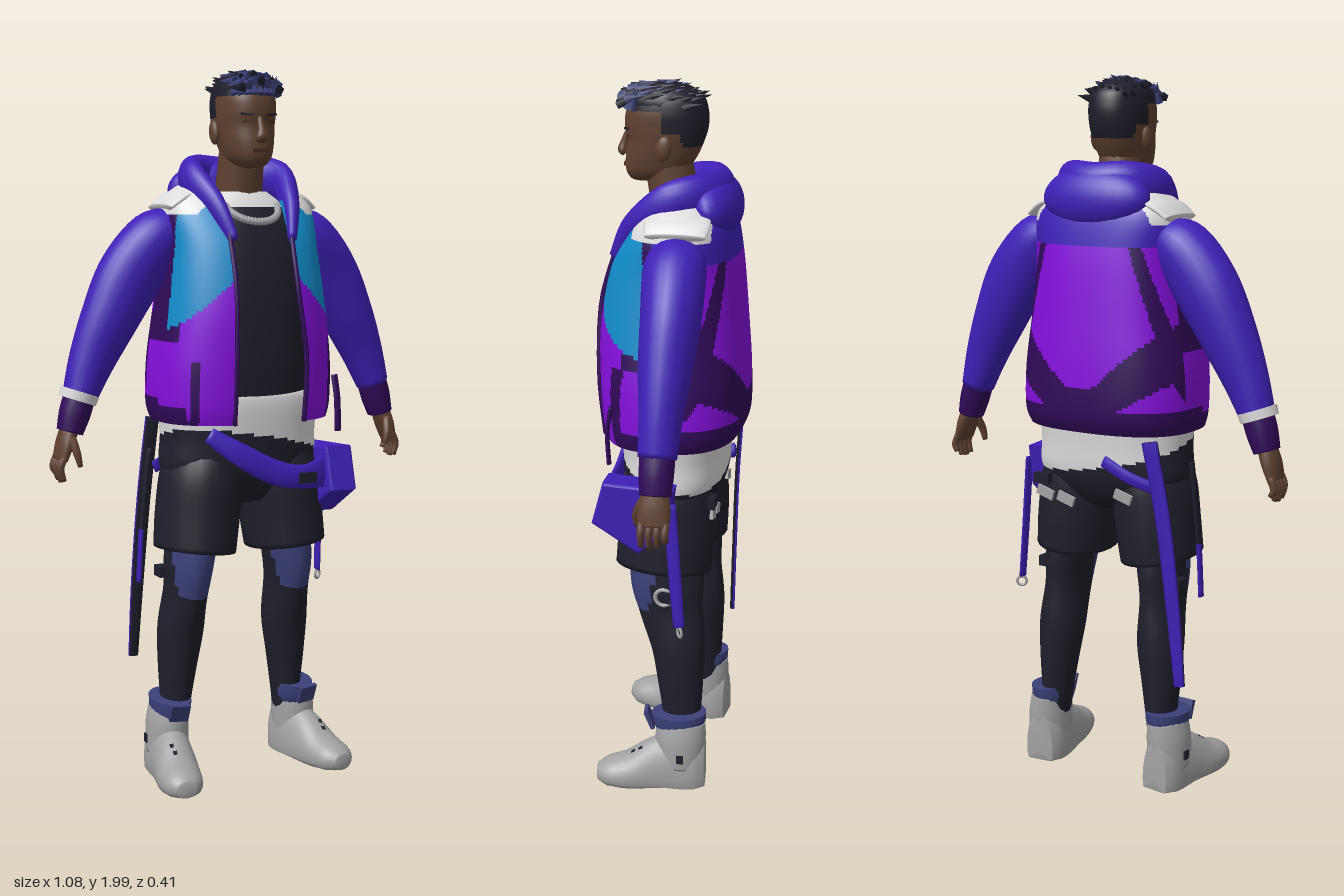
import * as THREE from 'three';

const M = {};
for (const [name, color] of Object.entries({
  skin: 0x5f4131, lips: 0x48291f, slateBlue: 0x3c4078, black: 0x1e1f2b, blue: 0x3e20b6,
  magenta: 0x8410dc, cyan: 0x128cca, darkPurple: 0x300a58, white: 0xdcdcdc, shoeGrey: 0xa2a2a4,
})) {
  M[name] = new THREE.MeshStandardMaterial({ color, side: THREE.DoubleSide });
  M[name].name = name;
}

// Smooth interpolation through rows of numbers, v from 0 to 1
function sample(rows, v) {
  const s = Math.min(Math.max(v, 0), 1) * (rows.length - 1);
  const i = Math.min(Math.floor(s), rows.length - 2), t = s - i;
  const at = k => rows[Math.min(Math.max(k, 0), rows.length - 1)];
  return rows[0].map((_, k) => {
    const p0 = at(i - 1)[k], p1 = at(i)[k], p2 = at(i + 1)[k], p3 = at(i + 2)[k];
    const a = (p2 - p0) / 2, b = (p3 - p1) / 2;
    return p1 + a * t + (3 * (p2 - p1) - 2 * a - b) * t * t + (2 * (p1 - p2) + a + b) * t * t * t;
  });
}

// Grid surface; paint is a colour name or a rule (point) => colour name
function surface(name, point, nu, nv, closed, paint) {
  const cols = closed ? nu : nu + 1, pts = [], byColour = {};
  for (let j = 0; j <= nv; j++) for (let i = 0; i < cols; i++) pts.push(point(i / nu, j / nv, j));
  for (let j = 0; j < nv; j++) for (let i = 0; i < nu; i++) {
    const k = (i + 1) % cols, a = j * cols + i, b = j * cols + k, c = b + cols, d = a + cols;
    const mid = pts[a].clone().add(pts[b]).add(pts[c]).add(pts[d]).multiplyScalar(0.25);
    const key = typeof paint === 'string' ? paint : paint(mid);
    (byColour[key] ??= []).push(a, b, c, a, c, d);
  }
  const g = new THREE.BufferGeometry().setFromPoints(pts);
  const keys = Object.keys(byColour), index = [];
  keys.forEach((k, n) => {
    g.addGroup(index.length, byColour[k].length, n);
    for (const q of byColour[k]) index.push(q);
  });
  g.setIndex(index);
  g.computeVertexNormals();
  const mesh = new THREE.Mesh(g, keys.map(k => M[k]));
  mesh.name = name;
  return mesh;
}

// Upright body from rows [y, half width, front z, back z]; gap(y) opens the front
function loft(name, rows, paint, { p = 1, nu = 40, nv = 24, gap = null } = {}) {
  const pw = q => Math.sign(q) * Math.abs(q) ** p;
  return surface(name, (u, v) => {
    const [y, w, f, b] = sample(rows, v);
    let a = u * Math.PI * 2;
    if (gap) {
      const [l, r] = gap(y).map(x => Math.asin(Math.min(1, x / w) ** (1 / p)));
      a = r + u * (Math.PI * 2 - l - r);
    }
    return new THREE.Vector3(w * pw(Math.sin(a)), y, (f + b) / 2 + (f - b) / 2 * pw(Math.cos(a)));
  }, nu, nv, !gap, paint);
}

// Capped sweep through rows [x, y, z, r1, r2]
function limb(name, rows, paint, { ref = new THREE.Vector3(0, 0, 1), nu = 16, nv = 16, floor = -9 } = {}) {
  const pos = v => new THREE.Vector3(...sample(rows, v).slice(0, 3));
  return surface(name, (u, _, j) => {
    const v = Math.min(Math.max((j - 1) / (nv - 2), 0), 1), cap = j === 0 || j === nv ? 0 : 1;
    const T = pos(v + 0.01).sub(pos(v - 0.01)).normalize();
    const S = T.clone().cross(ref).normalize(), N = T.clone().cross(S);
    const r = sample(rows, v), a = u * Math.PI * 2;
    const P = pos(v).addScaledVector(S, cap * r[3] * Math.cos(a)).addScaledVector(N, cap * r[4] * Math.sin(a));
    P.y = Math.max(P.y, floor);
    return P;
  }, nu, nv, true, paint);
}

function part(name, geo, mat, x, y, z, rx = 0, ry = 0, rz = 0) {
  const m = new THREE.Mesh(geo, M[mat]);
  m.name = name;
  m.position.set(x, y, z);
  m.rotation.set(rx, ry, rz);
  return m;
}
const box = (w, h, d) => new THREE.BoxGeometry(w, h, d);

// Colour blocking of the jacket
function jacketPaint({ x, y, z }) {
  const ax = Math.abs(x);
  if (y > 1.6 && z < 0.085) return ax > 0.14 && z > -0.13 ? 'white' : 'blue';
  if (z > 0.02) {
    if (z > 0.045 && y > 1.515 - 0.93 * ax) return 'cyan';
    if (y < 1.08 && z < 0.12) return 'darkPurple';
    if (x > 0.21 && x < 0.235 && y < 1.25 && z > 0.06) return 'darkPurple';
    if (x < -0.19 && x > -0.21 && y < 1.2 && z > 0.06) return 'darkPurple';
    return y > 1.26 && z < 0.1 ? 'darkPurple' : 'magenta';
  }
  if (y > 1.54) return 'blue';
  if (y < 1.095) return 'darkPurple';
  if (z > -0.07) return y > 1.25 ? 'darkPurple' : 'magenta';
  if (Math.abs(ax - 0.15 - (1.53 - y) * 0.3) < 0.016) return 'darkPurple';
  if (y > 1.155 + 0.9 * Math.max(0, ax - 0.04)) return 'magenta';
  return ax > 0.1 && y < 1.03 + 0.6 * ax ? 'magenta' : 'darkPurple';
}

export function createModel() {
  const g = new THREE.Group();
  g.name = 'figure';
  const up = new THREE.Vector3(0, 1, 0);

  // Jacket, shirt and waist
  g.add(loft('jacket', [[1.03, .25, .18, -.19], [1.08, .26, .19, -.21], [1.2, .257, .197, -.21], [1.35, .237, .195, -.2],
    [1.5, .222, .165, -.187], [1.6, .224, .115, -.17], [1.65, .2, .08, -.15], [1.69, .14, .05, -.12]],
  jacketPaint, { p: 0.78, nu: 170, nv: 100, gap: y => [0.095, 0.08 + Math.max(0, 1.5 - y) * 0.09] }));
  g.add(loft('shirt', [[1.05, .2, .135, -.14], [1.2, .205, .15, -.15], [1.4, .2, .15, -.15], [1.55, .18, .125, -.13],
    [1.62, .13, .09, -.1], [1.66, .08, .06, -.08]], p => (p.y > 1.62 && Math.abs(p.x) < .11 ? 'white' : 'black'), { p: 0.85, nu: 64, nv: 48 }));
  g.add(loft('waist', [[.79, 0, 0, -.01], [.8, .1, .08, -.09], [.88, .222, .125, -.145], [.98, .228, .138, -.158],
    [1.1, .225, .142, -.16], [1.11, .15, .1, -.1]],
  p => (p.y > 0.957 - 0.18 * p.x + 0.25 * p.z ? 'white' : 'black'), { p: 0.85, nu: 96, nv: 60 }));
  for (const s of [-1, 1]) {
    const edge = s > 0 ? [.088, .114] : [.099, .099];
    g.add(limb('jacketPlacket', [[s * edge[0], 1.56, .14, .007, .007], [s * edge[0], 1.4, .187, .007, .007],
      [s * edge[1], 1.2, .19, .007, .007], [s * edge[1], 1.03, .175, .007, .007]], 'darkPurple', { nu: 8 }));
    g.add(limb('shoulderPanel', [[s * .145, 1.658, -.042, .012, .08], [s * .185, 1.642, -.042, .017, .088],
      [s * .222, 1.615, -.042, .012, .08]], 'white', { nu: 24 }));
  }
  g.add(limb('hemTab', [[.235, 1.15, .13, .01, .006], [.24, 1.08, .14, .01, .006], [.245, .99, .135, .01, .006]], 'darkPurple'));

  // Hood
  g.add(limb('hoodCollar', [[.09, 1.53, .147, .012, .018], [.115, 1.62, .09, .024, .034], [.135, 1.685, -.01, .036, .055],
    [.09, 1.705, -.09, .042, .058], [0, 1.7, -.12, .045, .06], [-.09, 1.705, -.09, .042, .058],
    [-.135, 1.685, -.01, .036, .055], [-.115, 1.62, .09, .024, .034], [-.09, 1.53, .147, .012, .018]], 'blue', { ref: up, nu: 20, nv: 48 }));
  const hoodBag = part('hoodBag', new THREE.SphereGeometry(1, 28, 16), 'blue', 0, 1.665, -.115, .25);
  hoodBag.scale.set(.165, .088, .07);
  g.add(hoodBag);

  // Chain
  const chain = new THREE.Group();
  chain.name = 'chain';
  for (let i = 0; i < 26; i++) {
    const a = (i / 25 - 0.5) * Math.PI;
    chain.add(part('chainLink', new THREE.SphereGeometry(.011, 6, 5), 'shoeGrey', .077 * Math.sin(a), 1.62 - .042 * Math.cos(a), .075 + .055 * Math.cos(a)));
  }
  g.add(chain);

  // Head
  g.add(limb('neck', [[0, 1.58, -.02, .075, .07], [0, 1.68, 0, .065, .068], [0, 1.79, .02, .062, .065]], 'skin'));
  g.add(loft('head', [[1.722, .005, .1, .07], [1.728, .035, .118, .01], [1.75, .058, .132, -.03], [1.79, .071, .133, -.06],
    [1.835, .078, .128, -.08], [1.87, .081, .134, -.09], [1.91, .081, .13, -.09], [1.95, .07, .11, -.075],
    [1.97, .04, .07, -.03], [1.975, .001, .02, .015]],
  p => (p.y > 1.915 || (p.y > 1.86 && p.z < .015) || (p.y > 1.825 && p.z < -.03) ? 'black' : 'skin'), { p: 0.9, nu: 56, nv: 56 }));
  g.add(limb('nose', [[0, 1.86, .126, .008, .006], [0, 1.825, .138, .011, .01], [0, 1.803, .142, .018, .014], [0, 1.794, .134, .014, .008]], 'skin'));
  g.add(part('mouth', box(.045, .01, .009), 'lips', 0, 1.768, .131));
  for (const s of [-1, 1]) {
    g.add(part('brow', box(.036, .006, .008), 'black', s * .036, 1.864, .124, 0, s * .35, s * .1));
    g.add(part('eye', box(.022, .007, .008), 'lips', s * .036, 1.845, .118, 0, s * .4));
    const ear = part('ear', new THREE.SphereGeometry(1, 12, 10), 'skin', s * .083, 1.82, .015, -.2);
    ear.scale.set(.013, .034, .022);
    g.add(ear);
  }

  // Hair: domed top with rows of swept-back locks
  const hair = new THREE.Group();
  hair.name = 'hairTop';
  const dome = part('hairDome', new THREE.SphereGeometry(1, 20, 14), 'black', 0, 1.93, .025);
  dome.scale.set(.078, .056, .108);
  hair.add(dome);
  for (let r = 0; r < 8; r++) for (let c = -3; c <= 3; c++) {
    const z = .115 - r * .025, x = c * .021 + (r % 2 ? .006 : -.004);
    const y = 1.977 - 5 * x * x - 3.2 * (z - .035) ** 2 + .003 * ((r * 5 + c * 3) % 3);
    hair.add(part('lock', new THREE.ConeGeometry(.014, .06, 5), (r + c + 9) % 3 === 0 || r > 5 || Math.abs(c) === 3 && r > 2 ? 'black' : 'slateBlue',
      x, y, z, -1.35 + .15 * ((r + c) % 2), 0, -x * 5));
  }
  for (let c = -4; c <= 4; c++) hair.add(part('fringe', new THREE.ConeGeometry(.015, .06, 5), 'slateBlue', c * .0165, 1.945, .12 - c * c * .0016, -.35, 0, -c * .04));
  g.add(hair);

  for (const s of [-1, 1]) {
    // Arms
    const L = rows => rows.map(r => [r[0] * s, ...r.slice(1)]);
    g.add(limb('sleeve', L([[.18, 1.56, -.045, .055, .07], [.235, 1.53, -.045, .082, .083], [.31, 1.43, -.05, .092, .079],
      [.375, 1.31, -.048, .08, .07], [.427, 1.2, -.047, .064, .057], [.465, 1.1, -.045, .047, .051]]), 'blue', { nu: 24, nv: 28 }));
    g.add(limb('cuff', L([[.462, 1.11, -.045, .043, .047], [.478, 1.06, -.045, .043, .046], [.493, 1.01, -.045, .036, .042]]), 'darkPurple'));
    g.add(limb('palm', L([[.49, 1.03, -.045, .025, .032], [.508, .98, -.045, .023, .043], [.522, .935, -.045, .016, .042]]), 'skin'));
    for (let i = 0; i < 4; i++) {
      const z = -.077 + i * .021, e = i === 0 ? .015 : i === 2 ? -.004 : 0;
      g.add(limb('finger', L([[.52, .945, z, .011, .0105], [.532, .915, z, .0105, .01], [.523, .88 + e, z, .008, .008]]), 'skin', { nu: 8, nv: 8 }));
    }
    g.add(limb('thumb', L([[.498, .995, -.015, .013, .013], [.49, .955, .004, .011, .012], [.482, .92, .006, .007, .008]]), 'skin', { nu: 8, nv: 8 }));

    // Shorts and legs
    g.add(limb('shortsLeg', L([[.115, .93, -.005, .1, .12], [.12, .86, 0, .117, .133], [.133, .75, 0, .117, .136], [.143, .66, .005, .113, .136]]), 'black', { nu: 24 }));
    g.add(limb('leg', L([[.14, .75, 0, .07, .1], [.157, .62, -.008, .062, .105], [.162, .53, -.02, .056, .092], [.168, .42, -.042, .064, .078],
      [.175, .31, -.05, .054, .066], [.18, .2, -.055, .042, .055], [.19, .1, -.055, .04, .05]]),
    p => (p.y > .53 && p.y < .68 && p.z > .025 + (.6 - p.y) * .2 ? 'slateBlue' : 'black'), { nu: 32, nv: 44 }));
    g.add(part('kneeStrapBuckle', box(.03, .03, .045), 'black', s * .225, .595, -.04));

    // Boots
    g.add(limb('boot', L([[.198, .03, -.128, .04, .11], [.202, .03, -.095, .058, .135], [.207, .03, -.04, .062, .13], [.217, .03, .02, .062, .104],
      [.232, .025, .09, .063, .064], [.243, .025, .15, .054, .043], [.248, .025, .183, .028, .022]]), 'shoeGrey', { ref: up, nu: 28, nv: 28, floor: 0 }));
    g.add(limb('bootShaft', L([[.207, .06, -.055, .06, .07], [.205, .14, -.056, .06, .074], [.2, .195, -.058, .053, .07]]), 'shoeGrey', { nu: 24 }));
    g.add(limb('bootCollar', L([[.198, .165, -.055, .052, .066], [.198, .19, -.052, .057, .076], [.198, .22, -.05, .058, .08]]), 'slateBlue', { nu: 20 }));
    g.add(part('bootTongue', box(.055, .055, .012), 'slateBlue', s * .205, .195, .035, .4, s * .15));
    for (const [y, z] of [[.108, .055], [.094, .077]]) g.add(part('bootLace', box(.032, .008, .012), 'black', s * .228, y, z, .6));
    g.add(part('bootSideTab', box(.009, .025, .02), 'black', s * .266, .1, -.065));
  }
  g.add(part('wristband', new THREE.CylinderGeometry(.055, .053, .026, 20), 'white', -.466, 1.107, -.045, 0, 0, -.33));

  // Hip belt and pouch
  g.add(limb('hipBelt', [[-.15, 1.0, .12, .022, .01], [-.07, .945, .147, .032, .012], [.03, .89, .157, .035, .012],
    [.13, .87, .157, .035, .012], [.25, .885, .11, .055, .012]], 'blue', { nv: 28 }));
  g.add(part('beltBuckle', box(.06, .03, .02), 'black', .13, .868, .162, 0, .15, -.05));
  const outline = [[.17, .83], [.14, .94], [-.04, .93], [-.025, .82], [.05, .755]].map(q => new THREE.Vector2(...q));
  g.add(part('pouch', new THREE.ExtrudeGeometry(new THREE.Shape(outline), { depth: .07, bevelSize: .008, bevelThickness: .008, bevelSegments: 2 }),
    'blue', .277, 0, 0, 0, -Math.PI / 2));

  // Hanging straps
  g.add(limb('pouchStrap', [[.285, .9, -.04, .006, .018], [.29, .7, -.055, .006, .018], [.295, .54, -.068, .006, .016]], 'blue', { nu: 8 }));
  g.add(part('strapRing', new THREE.TorusGeometry(.014, .004, 6, 16), 'shoeGrey', .297, .525, -.07, 0, .6));
  g.add(limb('sideStrap', [[-.262, .95, -.04, .006, .012], [-.285, .75, -.04, .006, .012], [-.296, .57, -.04, .006, .012]],
    p => (p.y > .73 ? 'black' : 'blue'), { nu: 8 }));
  const facing = new THREE.Vector3(-.2, 0, -1);
  for (const [name, colour, dx, dz] of [['backStrap', 'blue', 0, 0], ['backStrapLining', 'black', .001, .006]]) {
    g.add(limb(name, [[-.2, 1.02, -.165, .022, .004], [-.235, .8, -.148, .022, .004], [-.262, .55, -.138, .02, .004],
      [-.28, .33, -.131, .015, .004]].map(r => [r[0] + dx, r[1], r[2] + dz, r[3], r[4]]), colour, { ref: facing, nu: 8 }));
  }
  g.add(limb('backBelt', [[-.21, .88, -.125, .018, .006], [-.13, .91, -.152, .018, .006], [-.05, .95, -.16, .018, .006]], 'blue', { nu: 8 }));
  for (const [x, y] of [[.16, .83], [.09, .82], [-.1, .85]]) g.add(part('backClip', box(.055, .028, .009), 'shoeGrey', x, y, -.138, 0, 0, .3));
  g.add(part('backBuckle', box(.05, .03, .02), 'black', .17, .87, -.138));
  g.add(part('kneeRing', new THREE.TorusGeometry(.024, .006, 6, 16), 'shoeGrey', .222, .59, -.01, 0, Math.PI / 2));
  return g;
}
